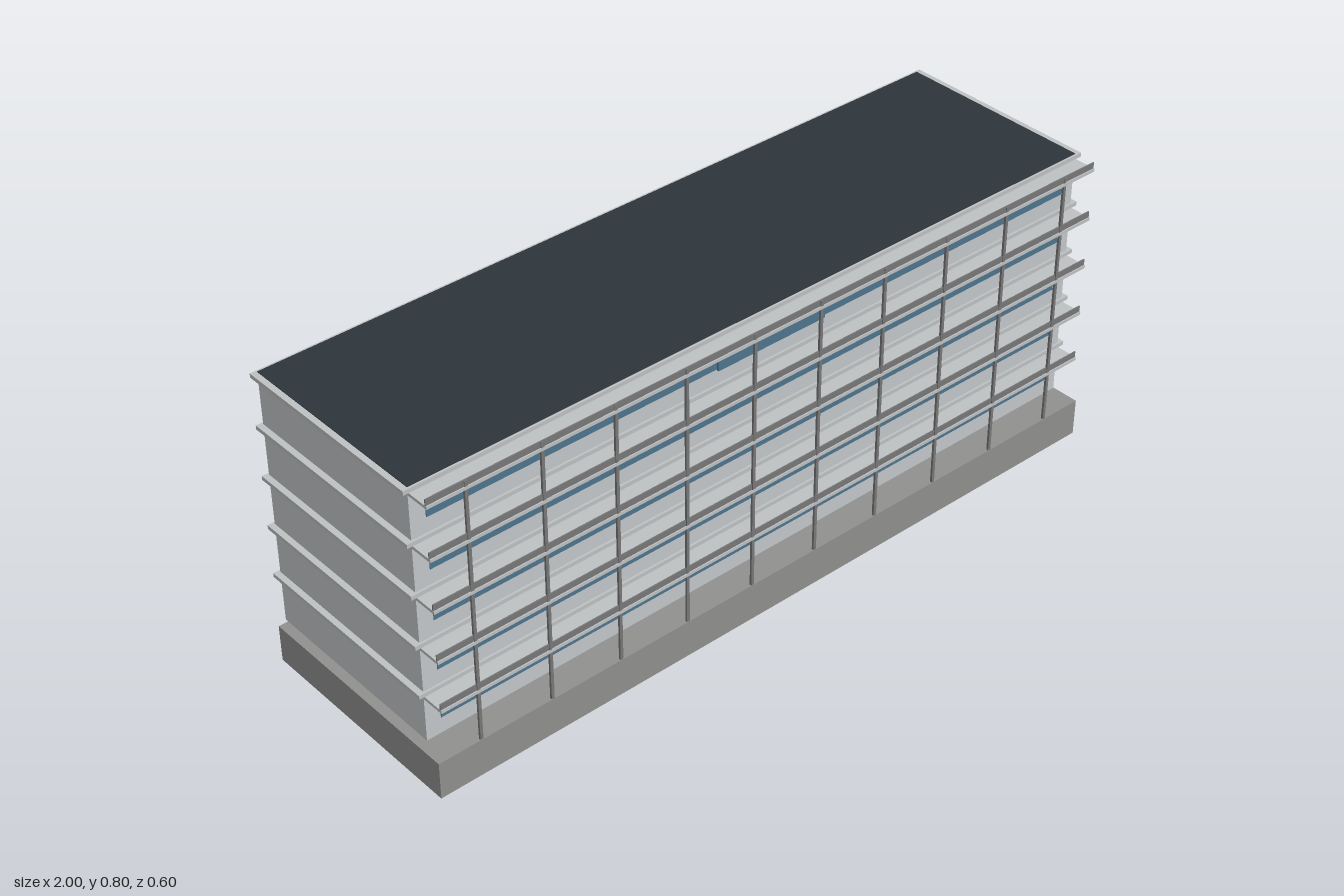
import * as THREE from 'three';

const mat = (name, color) => {
  const m = new THREE.MeshStandardMaterial({ color });
  m.name = name;
  return m;
};

export function createModel() {
  const group = new THREE.Group();
  group.name = 'officeBlock';

  const wall = mat('pale grey wall', 0xc3c7ca);
  const trim = mat('light grey trim', 0xbec1c2);
  const stone = mat('grey plinth', 0x90918f);
  const glass = mat('blue glass', 0x4e758d);
  const roofing = mat('dark roofing', 0x2d353b);
  const metal = mat('grey metal', 0x777877);

  // Box given by its low and high limits on each axis
  const box = (name, material, [x0, x1], [y0, y1], [z0, z1]) => {
    const mesh = new THREE.Mesh(new THREE.BoxGeometry(x1 - x0, y1 - y0, z1 - z0), material);
    mesh.position.set((x0 + x1) / 2, (y0 + y1) / 2, (z0 + z1) / 2);
    mesh.name = name;
    group.add(mesh);
  };

  const floors = 5, storey = 0.136;
  const back = -0.294, front = 0.237;

  // Plinth, with the main block raised slightly above it
  box('plinth', stone, [-1, 1], [0, 0.1], [-0.3, 0.3]);
  box('mainBlock', wall, [-0.983, 0.983], [0.114, 0.796], [back, front]);
  box('roof', roofing, [-0.983, 0.983], [0.796, 0.799], [back, front]);

  for (let i = 0; i < floors; i++) {
    const y = i * storey;
    // Window strips on the front and back
    box('frontWindow', glass, [-0.943, 0.943], [y + 0.158, y + 0.235], [front - 0.001, front + 0.002]);
    box('backWindow', glass, [-0.943, 0.943], [y + 0.158, y + 0.235], [back - 0.002, back + 0.001]);
    // Ledge around the whole block
    box('ledge', trim, [-0.998, 0.998], [y + 0.243, y + 0.2535], [-0.3, 0.243]);
    // Balcony slab and its front rail
    box('balconySlab', trim, [-0.983, 0.983], [y + 0.233, y + 0.241], [front, 0.3]);
    box('balconyRail', metal, [-0.983, 0.983], [y + 0.241, y + 0.257], [0.294, 0.297]);
  }

  // Slender posts along the front
  for (let i = 0; i < 10; i++) {
    const x = -0.883 + i * 0.1962;
    box('post', metal, [x - 0.004, x + 0.004], [0.1, 0.799], [0.293, 0.299]);
  }

  // Plain panel on the top storey
  box('frontPanel', glass, [-0.16, 0.158], [0.702, 0.748], [0.242, 0.247]);

  return group;
}
